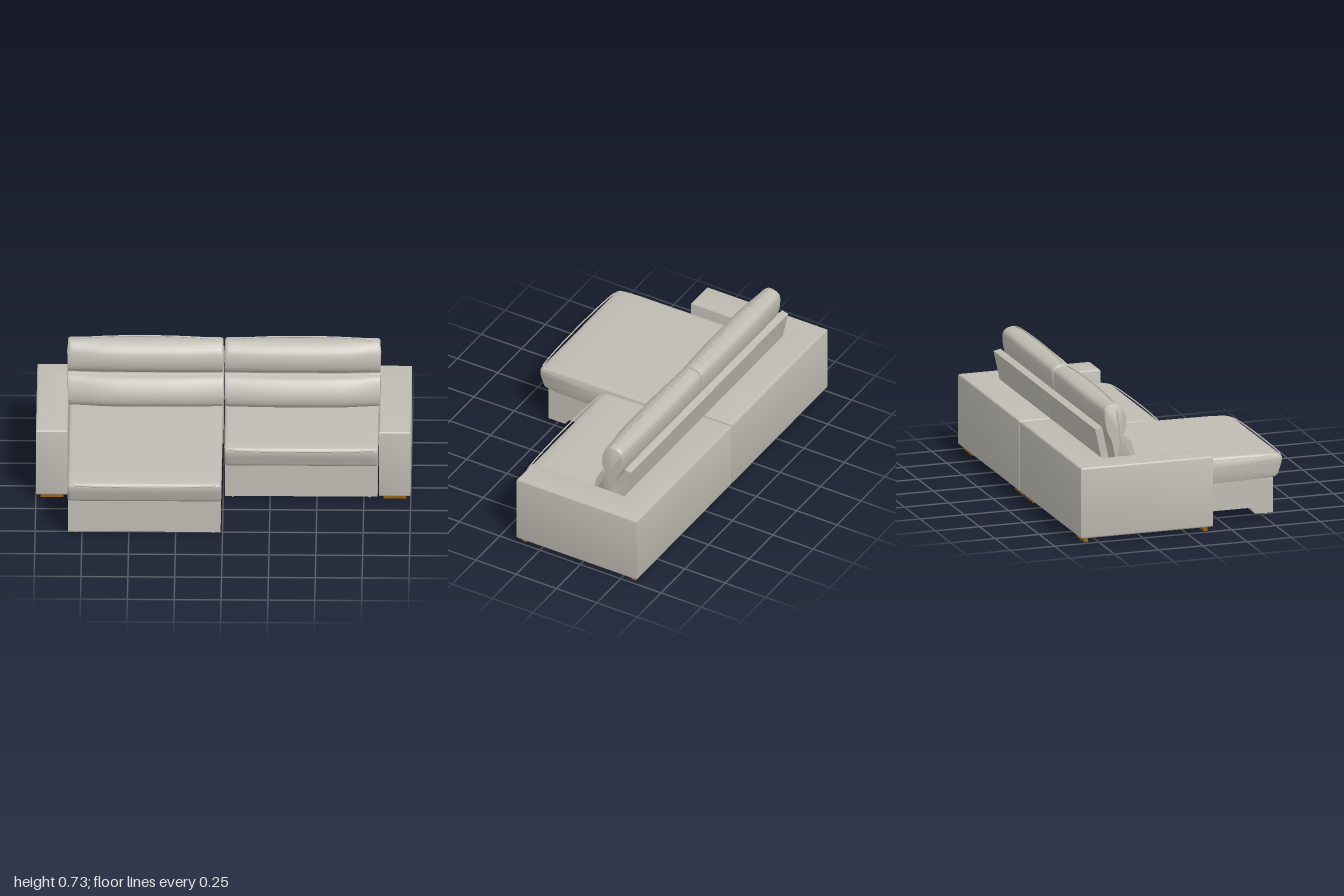
import * as THREE from 'three';
import { toCreasedNormals } from 'three/addons/utils/BufferGeometryUtils.js';

const fabric = new THREE.MeshStandardMaterial({ color: 0xbebbb2 });
fabric.name = 'warm grey upholstery';
const wood = new THREE.MeshStandardMaterial({ color: 0x96640f });
wood.name = 'golden brown wood';

const smoothstep = (t) => t * t * (3 - 2 * t);

function addMesh(parent, name, geometry, material = fabric) {
  const mesh = new THREE.Mesh(geometry, material);
  mesh.name = name;
  parent.add(mesh);
  return mesh;
}

// Closed [z, y] outline (front bottom, up the front, over the top, down the back)
function outline(points, count) {
  const curve = new THREE.CatmullRomCurve3(
    points.map(([z, y]) => new THREE.Vector3(0, y, z)), true, 'centripetal');
  return curve.getPoints(count).slice(0, count).map((p) => [p.z, p.y]);
}

// Sweeps an outline along x, changing it by morph(z, y, t), and caps both ends
function loft(profile, x0, x1, steps, morph) {
  const n = profile.length;
  const pos = [];
  const idx = [];
  steps.forEach((t) => profile.forEach(([z, y]) => {
    const [mz, my] = morph(z, y, t);
    pos.push(x0 + (x1 - x0) * t, my, mz);
  }));
  for (let i = 0; i < steps.length - 1; i++) {
    for (let j = 0; j < n; j++) {
      const k = (j + 1) % n;
      const a = i * n + j, b = (i + 1) * n + j, c = (i + 1) * n + k, d = i * n + k;
      idx.push(a, b, c, a, c, d);
    }
  }
  for (const [start, end] of [[0, false], [(steps.length - 1) * n, true]]) {
    const centre = pos.length / 3;
    const sum = [0, 0, 0];
    for (let j = 0; j < n; j++) for (let k = 0; k < 3; k++) sum[k] += pos[(start + j) * 3 + k] / n;
    pos.push(...sum);
    for (let j = 0; j < n; j++) {
      const a = start + j, b = start + (j + 1) % n;
      idx.push(centre, end ? b : a, end ? a : b);
    }
  }
  const g = new THREE.BufferGeometry();
  g.setAttribute('position', new THREE.Float32BufferAttribute(pos, 3));
  g.setIndex(idx);
  return toCreasedNormals(g, 0.75);
}

// Rounded-over inset close to the cushion ends
const STEPS = [0, 0.004, 0.012, 0.025, 0.06, 0.12, 0.22, 0.36, 0.5, 0.64, 0.78, 0.88, 0.94, 0.975, 0.988, 0.996, 1];
function endInset(t, size) {
  const e = Math.min(t, 1 - t) / 0.025;
  return e >= 1 ? 0 : size * (1 - Math.sqrt(1 - (1 - e) ** 2));
}

function piping(points) {
  const path = new THREE.CatmullRomCurve3(points.map((p) => new THREE.Vector3(...p)), false, 'centripetal');
  return new THREE.TubeGeometry(path, 60, 0.004, 6);
}

// L-shaped body: arm and back in one upholstered block
function frameGeometry(side) {
  const pts = [[0.005, 0.6], [1, 0.6], [1, -0.145], [0.83, -0.145], [0.83, 0.42], [0.005, 0.42]];
  const shape = new THREE.Shape(pts.map(([x, y]) => new THREE.Vector2(x * side, y)));
  const b = 0.01;
  const g = new THREE.ExtrudeGeometry(shape, {
    depth: 0.392 - 2 * b, bevelSize: b, bevelThickness: b, bevelOffset: -b, bevelSegments: 3,
  });
  g.rotateX(-Math.PI / 2).translate(0, 0.025 + b, 0);
  return toCreasedNormals(g, 0.6);
}

// Seat base: deep front lip with a curved step up to the underside
function baseGeometry(x0, x1, back, front) {
  const s = new THREE.Shape();
  s.moveTo(front, 0.025);
  s.lineTo(front, 0.218);
  s.lineTo(back, 0.218);
  s.lineTo(back, 0.06);
  s.lineTo(front - 0.14, 0.06);
  s.bezierCurveTo(front - 0.11, 0.06, front - 0.12, 0.025, front - 0.095, 0.025);
  const g = new THREE.ExtrudeGeometry(s, { depth: x1 - x0, bevelEnabled: false, curveSegments: 8 });
  g.rotateY(-Math.PI / 2).translate(x1, 0, 0);
  return toCreasedNormals(g, 0.6);
}

function seatCushionGeometry(x0, x1, front) {
  const back = -0.42;
  const nose = outline([
    [front - 0.06, 0.216], [front - 0.03, 0.226], [front - 0.014, 0.262], [front - 0.002, 0.305],
    [front - 0.004, 0.332], [front - 0.03, 0.344], [front - 0.1, 0.351], [front - 0.3, 0.354],
    [back + 0.05, 0.354], [back, 0.345], [back, 0.225], [back + 0.05, 0.216],
  ], 64);
  const cz = (front + back) / 2, hz = (front - back) / 2;
  return loft(nose, x0, x1, STEPS, (z, y, t) => {
    const d = endInset(t, 0.011);
    return [z - (z - cz) / hz * d, y - (y - 0.285) / 0.07 * d];
  });
}

const seamZ = (y) => -0.3 - (y - 0.36) * 0.13;

// Back cushion: full lumbar roll below and a head roll above
function backCushionGeometry(x0, x1, side) {
  const profile = outline([
    [-0.25, 0.35], [-0.216, 0.375], [-0.206, 0.416], [-0.22, 0.465], [-0.255, 0.513], [-0.298, 0.531],
    [-0.271, 0.56], [-0.261, 0.61], [-0.274, 0.66], [-0.303, 0.69], [-0.338, 0.706], [-0.384, 0.701],
    [-0.412, 0.684], [-0.419, 0.64], [-0.406, 0.56], [-0.378, 0.5], [-0.36, 0.42], [-0.345, 0.35],
  ], 84);
  return loft(profile, x0, x1, STEPS, (z, y, t) => {
    const out = side > 0 ? t : 1 - t;
    const outer = 1 - smoothstep(Math.min(1, (1 - out) / 0.3));
    const inner = 1 - smoothstep(Math.min(1, out / 0.3));
    const seam = seamZ(y);
    const f = z > seam ? 1 - 0.32 * outer - 0.14 * inner : 1 - 0.1 * outer - 0.05 * inner;
    const d = endInset(t, 0.01);
    return [seam + (z - seam) * f * (1 - d * 6), y - (y - 0.53) / 0.18 * d];
  });
}

function createModule(side, name, front, baseBack) {
  const g = new THREE.Group();
  g.name = name;
  const span = (a, b) => (side > 0 ? [a, b] : [-b, -a]);
  addMesh(g, 'armAndBack', frameGeometry(side));

  // Seat
  const [s0, s1] = span(0.006, 0.826);
  addMesh(g, 'seatBase', baseGeometry(...span(0.01, 0.824), baseBack, front - 0.055));
  addMesh(g, 'seatCushion', seatCushionGeometry(s0, s1, front));
  addMesh(g, 'seatPiping', piping([
    [s0 + 0.004, 0.337, -0.38], [s0 + 0.004, 0.337, front - 0.06], [s0 + 0.005, 0.334, front - 0.02],
    [s0 + 0.02, 0.333, front - 0.006], [s1 - 0.02, 0.333, front - 0.006],
    [s1 - 0.005, 0.334, front - 0.02], [s1 - 0.004, 0.337, front - 0.06], [s1 - 0.004, 0.337, -0.38],
  ]));

  // Backrest
  const [b0, b1] = span(0.005, 0.833);
  addMesh(g, 'backCushion', backCushionGeometry(b0, b1, side));
  const seam = (x, y) => [x, y, seamZ(y)];
  addMesh(g, 'backPiping', piping([
    seam(b0 + 0.002, 0.38), seam(b0 + 0.002, 0.55), seam(b0 + 0.003, 0.68), seam(b0 + 0.02, 0.702),
    seam(b1 - 0.02, 0.702), seam(b1 - 0.003, 0.68), seam(b1 - 0.002, 0.55), seam(b1 - 0.002, 0.38),
  ]));
  const panel = addMesh(g, 'backSupport', new THREE.BoxGeometry(0.825, 0.26, 0.04));
  panel.position.set(side * 0.4135, 0.453, -0.414);
  panel.rotation.x = -0.21;

  // Feet under the arm and the back
  for (const [x, z] of [[0.915, 0.11], [0.915, -0.565], [0.085, -0.565]]) {
    addMesh(g, 'foot', new THREE.BoxGeometry(0.122, 0.026, 0.022), wood)
      .position.set(side * x, 0.013, z);
  }
  // Small castors under the sliding seat
  for (const x of [0.05, 0.78]) {
    addMesh(g, 'castor', new THREE.SphereGeometry(0.009, 12, 8))
      .position.set(side * x, 0.014, front - 0.083);
    addMesh(g, 'castorStem', new THREE.CylinderGeometry(0.004, 0.004, 0.016, 8))
      .position.set(side * x, 0.024, front - 0.083);
  }
  return g;
}

export function createModel() {
  const sofa = new THREE.Group();
  sofa.name = 'sofa';
  sofa.add(createModule(1, 'leftSeatModule', 0.2, -0.42));
  sofa.add(createModule(-1, 'rightLoungerModule', 0.6, -0.29));
  return sofa;
}
